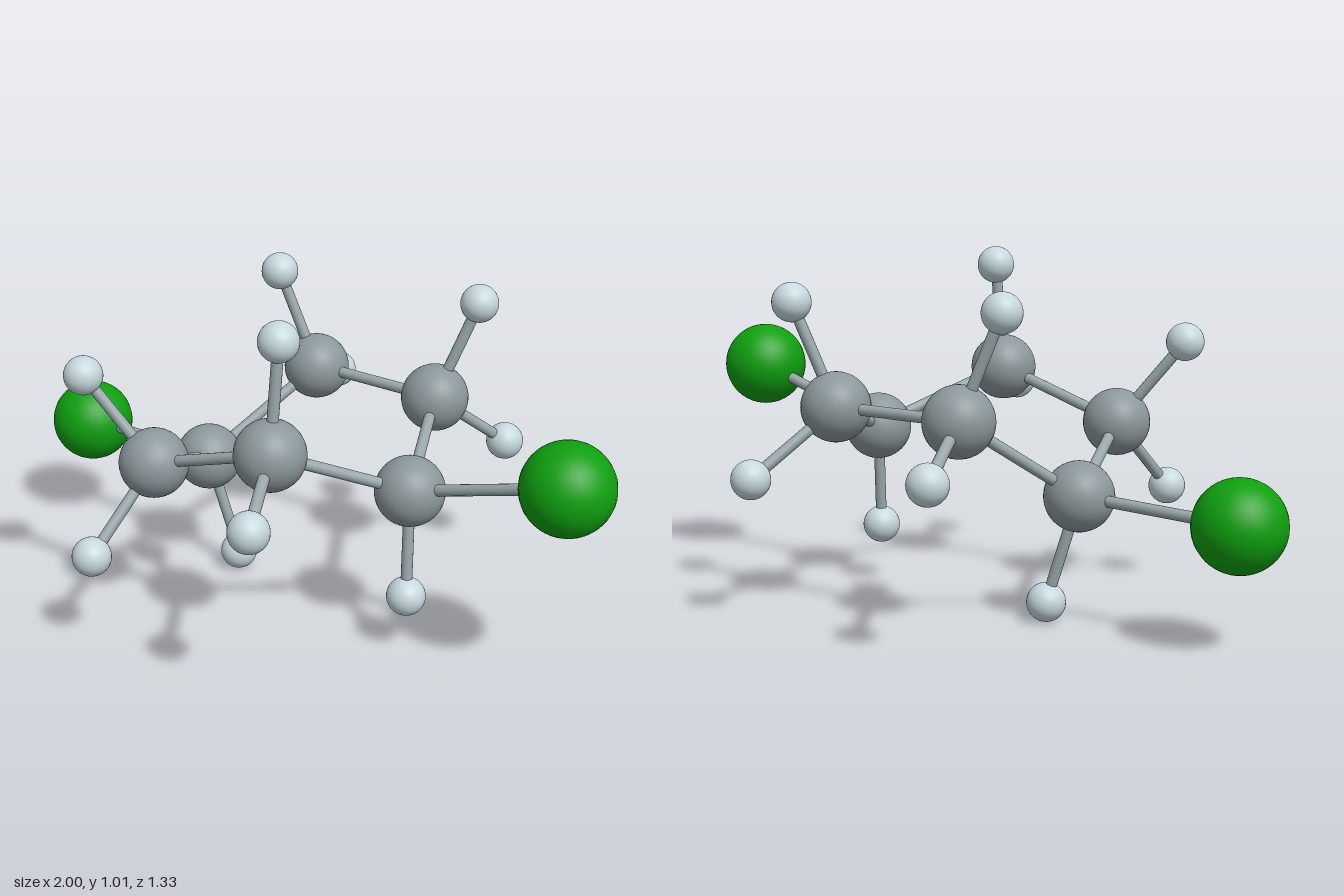
import * as THREE from 'three';

// Ball-and-stick ring molecule: six ring atoms, two large end atoms, ten small atoms
export function createModel() {
  const model = new THREE.Group();
  model.name = 'molecule';

  const mat = (color) => new THREE.MeshStandardMaterial({ color });
  const kinds = {
    carbon: { geometry: new THREE.SphereGeometry(0.098, 32, 24), material: mat(0x8c989c) },
    chlorine: { geometry: new THREE.SphereGeometry(0.125, 32, 24), material: mat(0x0fa00f) },
    hydrogen: { geometry: new THREE.SphereGeometry(0.055, 32, 24), material: mat(0xc6d8de) },
  };
  const bondMaterial = mat(0x9aa8ac);
  const bondRadius = 0.016;

  function addAtom(kind, name, position) {
    const atom = new THREE.Mesh(kinds[kind].geometry, kinds[kind].material);
    atom.name = name;
    atom.position.copy(position);
    model.add(atom);
  }

  // Rod from one atom centre to another
  function addBond(name, a, b) {
    const axis = b.clone().sub(a);
    const bond = new THREE.Mesh(
      new THREE.CylinderGeometry(bondRadius, bondRadius, axis.length(), 16), bondMaterial);
    bond.name = name;
    bond.position.copy(a).add(b).multiplyScalar(0.5);
    bond.quaternion.setFromUnitVectors(new THREE.Vector3(0, 1, 0), axis.normalize());
    model.add(bond);
  }

  // Ring atoms in order, each with the atoms attached to it
  const ring = [
    { at: [0.388, 0.482, 0.015], chlorine: [[0.875, 0.635, 0.026]], hydrogen: [[0.404, 0.175, 0.043]] },
    { at: [0.174, 0.646, 0.35], hydrogen: [[0.187, 0.957, 0.328], [0.318, 0.568, 0.609]] },
    { at: [-0.238, 0.511, 0.358], hydrogen: [[-0.42, 0.75, 0.435], [-0.276, 0.295, 0.578]] },
    { at: [-0.372, 0.36, -0.02], chlorine: [[-0.875, 0.343, -0.03]], hydrogen: [[-0.285, 0.058, -0.05]] },
    { at: [-0.222, 0.588, -0.353], hydrogen: [[-0.338, 0.875, -0.32], [-0.335, 0.471, -0.613]] },
    { at: [0.21, 0.592, -0.358], hydrogen: [[0.304, 0.88, -0.43], [0.318, 0.407, -0.582]] },
  ];

  const centres = ring.map((r) => new THREE.Vector3(...r.at));
  ring.forEach((r, i) => {
    const centre = centres[i];
    addAtom('carbon', `carbon${i + 1}`, centre);
    addBond(`ringBond${i + 1}`, centre, centres[(i + 1) % ring.length]);
    for (const kind of ['chlorine', 'hydrogen']) {
      (r[kind] || []).forEach((p, j) => {
        const position = new THREE.Vector3(...p);
        const label = `${i + 1}${'ab'[j]}`;
        addAtom(kind, `${kind}${label}`, position);
        addBond(`${kind}Bond${label}`, centre, position);
      });
    }
  });

  return model;
}
